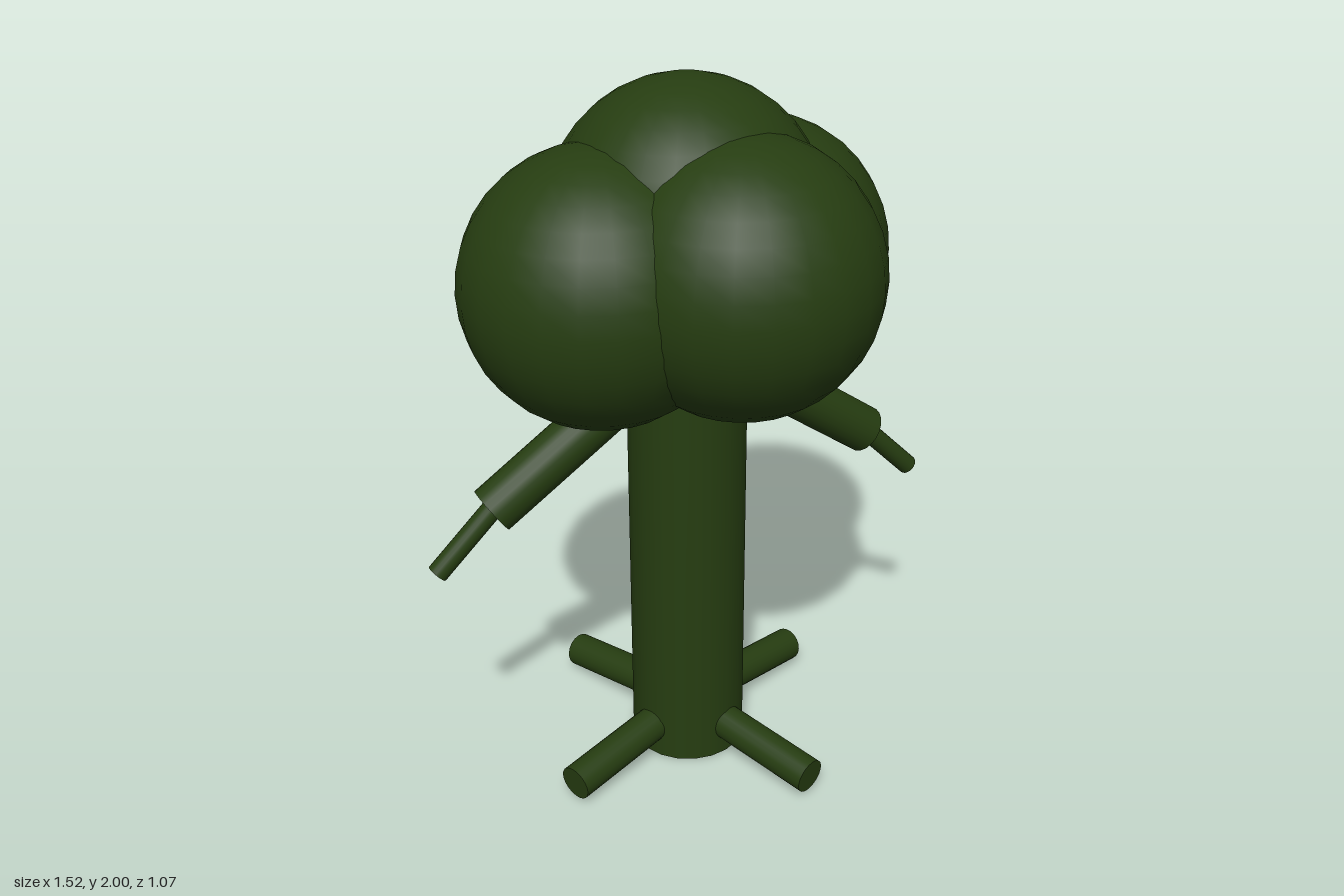
import * as THREE from 'three';

const TRUNK_Z = -0.06;

export function createModel() {
  const green = new THREE.MeshStandardMaterial({ color: 0x263d11 });
  green.name = 'dark green';
  const coral = new THREE.MeshStandardMaterial({ color: 0xe07a5f });
  coral.name = 'coral';

  const tree = new THREE.Group();
  tree.name = 'tree';

  const add = (name, geometry, material, position) => {
    const mesh = new THREE.Mesh(geometry, material);
    mesh.name = name;
    mesh.position.set(...position);
    tree.add(mesh);
    return mesh;
  };

  // Straight round limb between two points
  const limb = (name, from, to, radius) => {
    const a = new THREE.Vector3(...from);
    const b = new THREE.Vector3(...to);
    const axis = b.clone().sub(a);
    const mid = a.clone().add(b).multiplyScalar(0.5);
    const geometry = new THREE.CylinderGeometry(radius, radius, axis.length(), 20);
    const mesh = add(name, geometry, green, mid.toArray());
    mesh.quaternion.setFromUnitVectors(new THREE.Vector3(0, 1, 0), axis.normalize());
  };

  // Trunk
  limb('trunk', [0, 0, TRUNK_Z], [0, 1.35, TRUNK_Z], 0.167);

  // Crown of four overlapping balls
  const crown = {
    crownTop: [0, 1.632, -0.06],
    crownFront: [0.05, 1.53, 0.165],
    crownRight: [-0.264, 1.495, -0.012],
    crownLeft: [0.258, 1.475, -0.168],
  };
  for (const [name, position] of Object.entries(crown)) {
    add(name, new THREE.SphereGeometry(0.368, 24, 18), green, position);
  }

  // Drooping branches, each with a thinner twig
  for (const [side, s] of [['left', 1], ['right', -1]]) {
    limb(side + 'Branch', [s * 0.208, 1.148, TRUNK_Z], [s * 0.576, 0.893, TRUNK_Z], 0.069);
    limb(side + 'Twig', [s * 0.565, 0.907, TRUNK_Z], [s * 0.738, 0.738, TRUNK_Z], 0.029);
  }

  // Four roots spread evenly around the base
  for (let i = 0; i < 4; i++) {
    const angle = 0.39 + (i * Math.PI) / 2;
    const point = (r, y) => [r * Math.sin(angle), y, TRUNK_Z + r * Math.cos(angle)];
    limb('root' + (i + 1), point(0.09, 0.099), point(0.475, 0.06), 0.051);
  }

  // Small fruits behind the trunk
  for (const [side, s] of [['left', 1], ['right', -1]]) {
    add(side + 'Fruit', new THREE.SphereGeometry(0.042, 16, 12), coral, [s * 0.097, 1.055, -0.27]);
  }

  return tree;
}
